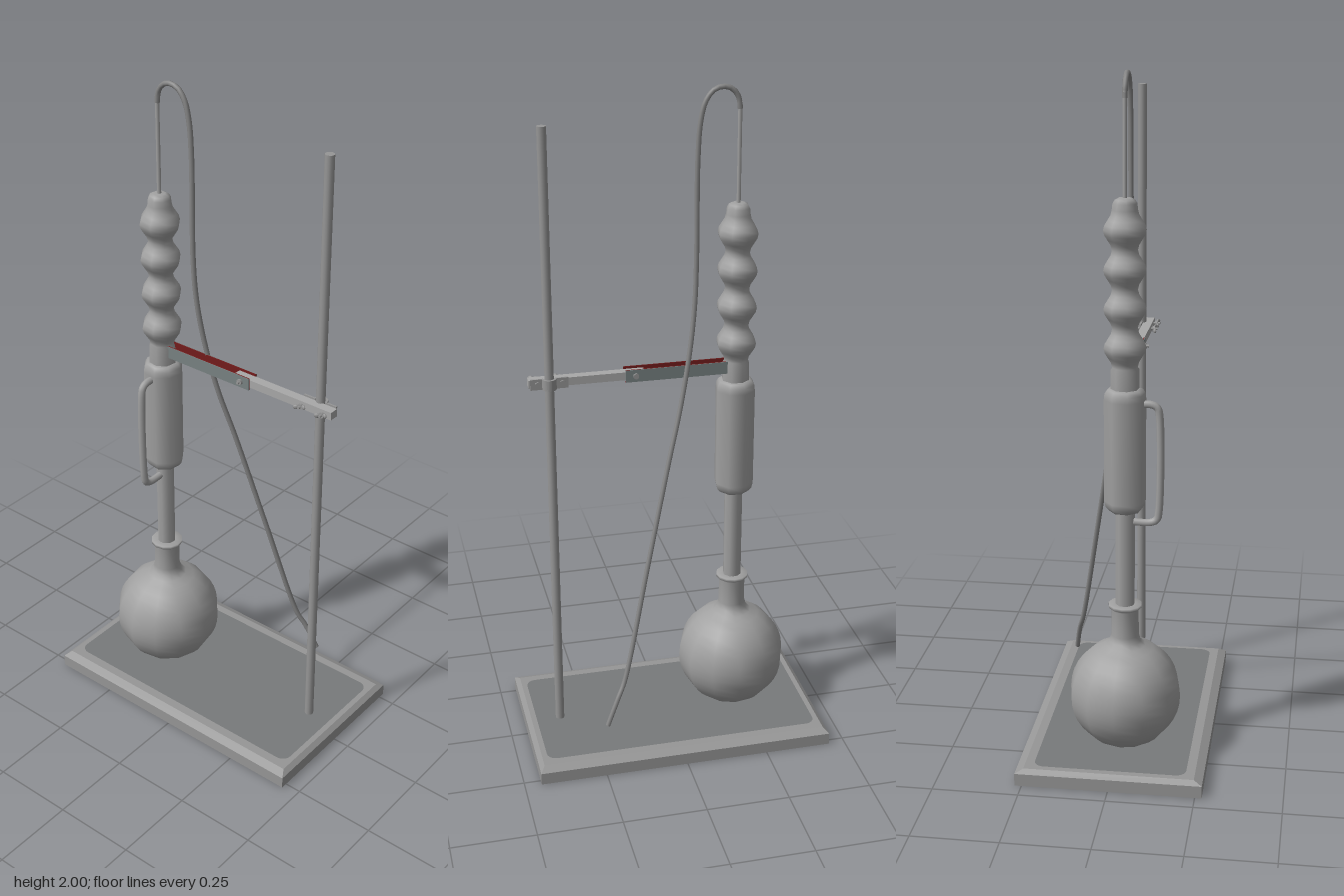
import * as THREE from 'three';

const mat = (name, color, side = THREE.FrontSide) => {
  const m = new THREE.MeshStandardMaterial({ color, side });
  m.name = name;
  return m;
};

export function createModel() {
  const glass = mat('glassGrey', 0xa0a0a0, THREE.DoubleSide);
  const metal = mat('metalGrey', 0x969696);
  const arm = mat('armGrey', 0xa8a8a8);
  const rubber = mat('rubberGrey', 0x868686);
  const panel = mat('panelGrey', 0x787a7b);
  const jawGrey = mat('jawGrey', 0x788282);
  const red = mat('liningRed', 0x741c1c);

  const root = new THREE.Group();
  root.name = 'distillationStand';
  const add = (name, geo, material, x = 0, y = 0, z = 0, parent = root) => {
    const m = new THREE.Mesh(geo, material);
    m.name = name;
    m.position.set(x, y, z);
    parent.add(m);
    return m;
  };
  const box = (w, h, d) => new THREE.BoxGeometry(w, h, d);
  const cyl = (r, h, n = 8) => new THREE.CylinderGeometry(r, r, h, n);
  const lathe = (pts, n) => new THREE.LatheGeometry(pts.map(p => new THREE.Vector2(...p)), n);
  const CX = -0.21, CZ = 0.019; // axis of the glassware

  // Base slab with a bevelled top edge
  add('baseSlab', box(0.9, 0.037, 0.54), metal, 0, 0.0185, 0);
  const bevel = box(0.9, 0.012, 0.54);
  const bp = bevel.attributes.position;
  for (let i = 0; i < bp.count; i++) {
    if (bp.getY(i) > 0) {
      bp.setX(i, Math.sign(bp.getX(i)) * 0.436);
      bp.setZ(i, Math.sign(bp.getZ(i)) * 0.246);
    }
  }
  const flatBevel = bevel.toNonIndexed();
  flatBevel.computeVertexNormals();
  add('baseBevel', flatBevel, metal, 0, 0.043, 0);

  // Dark rounded panels on the top and underside
  const W = 0.42, D = 0.22, R = 0.03;
  const s = new THREE.Shape();
  s.absarc(W - R, D - R, R, 0, Math.PI / 2);
  s.absarc(-W + R, D - R, R, Math.PI / 2, Math.PI);
  s.absarc(-W + R, -D + R, R, Math.PI, Math.PI * 1.5);
  s.absarc(W - R, -D + R, R, Math.PI * 1.5, Math.PI * 2);
  const plate = new THREE.ShapeGeometry(s, 6);
  add('baseTopPanel', plate, panel, 0, 0.0505, 0).rotation.x = -Math.PI / 2;
  add('baseUnderPanel', plate, panel, 0, -0.0005, 0).rotation.x = Math.PI / 2;

  // Round flask, flat where it rests on the base
  const flask = [[0, 0.05]];
  for (let i = 0; i <= 14; i++) {
    const a = THREE.MathUtils.lerp(-1.14, 1.2, i / 14);
    flask.push([0.165 * Math.cos(a), 0.2 + 0.165 * Math.sin(a)]);
  }
  flask.push([0.046, 0.366], [0.041, 0.385], [0.04, 0.465], [0.049, 0.472], [0.049, 0.481], [0.027, 0.481]);
  add('flask', lathe(flask, 12), glass, CX, 0, CZ).rotation.y = -0.08;

  // Extractor: lower stem, wide chamber and upper neck
  const turned = (name, pts) => { add(name, lathe(pts, 8), glass, CX, 0, CZ).rotation.y = 0.25; };
  turned('lowerStem', [[0.028, 0.45], [0.028, 0.775]]);
  turned('chamber', [[0.027, 0.768], [0.046, 0.77], [0.056, 0.782], [0.06, 0.8], [0.06, 1.1],
    [0.058, 1.117], [0.051, 1.128], [0.041, 1.131]]);

  // Bulbed condenser
  const bulbs = [[0.041, 1.125], [0.041, 1.185]];
  for (let i = 0; i <= 32; i++) {
    const t = i / 32;
    bulbs.push([0.048 - 0.012 * Math.cos(t * 8 * Math.PI), 1.192 + t * 0.44]);
  }
  bulbs.push([0.034, 1.65], [0.028, 1.66], [0.018, 1.665], [0, 1.665]);
  turned('condenser', bulbs);

  // Tubes
  const tube = (name, pts, r, material, n = 60) => {
    const curve = new THREE.CatmullRomCurve3(pts.map(p => new THREE.Vector3(...p)), false, 'centripetal');
    add(name, new THREE.TubeGeometry(curve, n, r, 8), material);
    return curve;
  };
  tube('sideArm', [[CX, 1.086, 0.05], [CX, 1.086, 0.095], [CX, 1.078, 0.11], [CX, 1.06, 0.116],
    [CX, 0.77, 0.116], [CX, 0.745, 0.11], [CX, 0.736, 0.095], [CX, 0.736, 0.025]], 0.011, glass);
  add('outletTube', cyl(0.006, 0.3), glass, CX, 1.8, CZ);
  const hosePath = [[CX, 1.93, CZ], [-0.205, 1.962, CZ], [-0.188, 1.985, CZ], [-0.163, 1.993, CZ],
    [-0.135, 1.985, CZ], [-0.112, 1.955, CZ], [-0.098, 1.9, CZ], [-0.091, 1.8, CZ], [-0.089, 1.5, CZ],
    [-0.083, 1.37, 0.013], [-0.066, 1.235, 0.0], [-0.034, 1.075, -0.022], [0.008, 0.917, -0.052],
    [0.087, 0.6, -0.107], [0.172, 0.26, -0.168], [0.196, 0.21, -0.183], [0.232, 0.128, -0.198]];
  const hose = tube('hose', hosePath, 0.0075, rubber, 120);
  for (const [t, dir] of [[0, -1], [1, 1]]) {
    const cap = add('hoseEnd', new THREE.CircleGeometry(0.0075, 8), rubber);
    cap.position.copy(hose.getPointAt(t));
    cap.quaternion.setFromUnitVectors(new THREE.Vector3(0, 0, 1), hose.getTangentAt(t).multiplyScalar(dir));
  }

  // Upright rod
  const RX = 0.347, RZ = -0.004;
  add('uprightRod', cyl(0.0135, 1.868, 12), metal, RX, 0.983, RZ);

  // Clamp arm and its lined jaws
  const clamp = new THREE.Group();
  clamp.name = 'clamp';
  clamp.position.y = 1.176;
  root.add(clamp);
  const addC = (name, geo, material, x, y, z) => add(name, geo, material, x, y, z, clamp);
  addC('clampArm', box(0.34, 0.024, 0.028), arm, 0.236, 0, 0.015);
  for (const k of [-1, 1]) {
    addC('jaw', box(0.304, 0.037, 0.002), jawGrey, -0.028, 0, 0.016 + k * 0.018);
    addC('jawLining', box(0.304, 0.037, 0.003), red, -0.028, 0, 0.016 + k * 0.0155);
  }

  // Bracket wrapped round the back of the rod
  const ring = new THREE.Shape();
  ring.absarc(0, 0, 0.021, 0, Math.PI, false);
  ring.absarc(0, 0, 0.014, Math.PI, 0, true);
  const ringGeo = new THREE.ExtrudeGeometry(ring, { depth: 0.032, bevelEnabled: false, curveSegments: 8 });
  addC('rodBracket', ringGeo, metal, RX, -0.016, RZ).rotation.x = -Math.PI / 2;
  for (const k of [-1, 1]) addC('bracketFlange', box(0.038, 0.032, 0.005), metal, RX + k * 0.036, 0, -0.003);

  // Bolts with wing nuts
  const bolt = (x, winged) => {
    addC('bolt', cyl(0.004, 0.058), metal, x, 0, 0.02).rotation.x = Math.PI / 2;
    addC('boltHead', cyl(0.009, 0.006, 6), metal, x, 0, -0.007).rotation.x = Math.PI / 2;
    addC('nut', cyl(0.009, 0.008, 6), metal, x, 0, 0.038).rotation.x = Math.PI / 2;
    if (!winged) return;
    for (const k of [-1, 1]) {
      const wing = addC('nutWing', new THREE.SphereGeometry(0.008, 8, 6), metal, x + k * 0.013, k * 0.004, 0.042);
      wing.scale.set(1.1, 0.9, 0.5);
      wing.rotation.y = -k * 0.5;
    }
  };
  bolt(0.094, false);
  bolt(0.309, true);
  bolt(0.381, true);

  return root;
}
